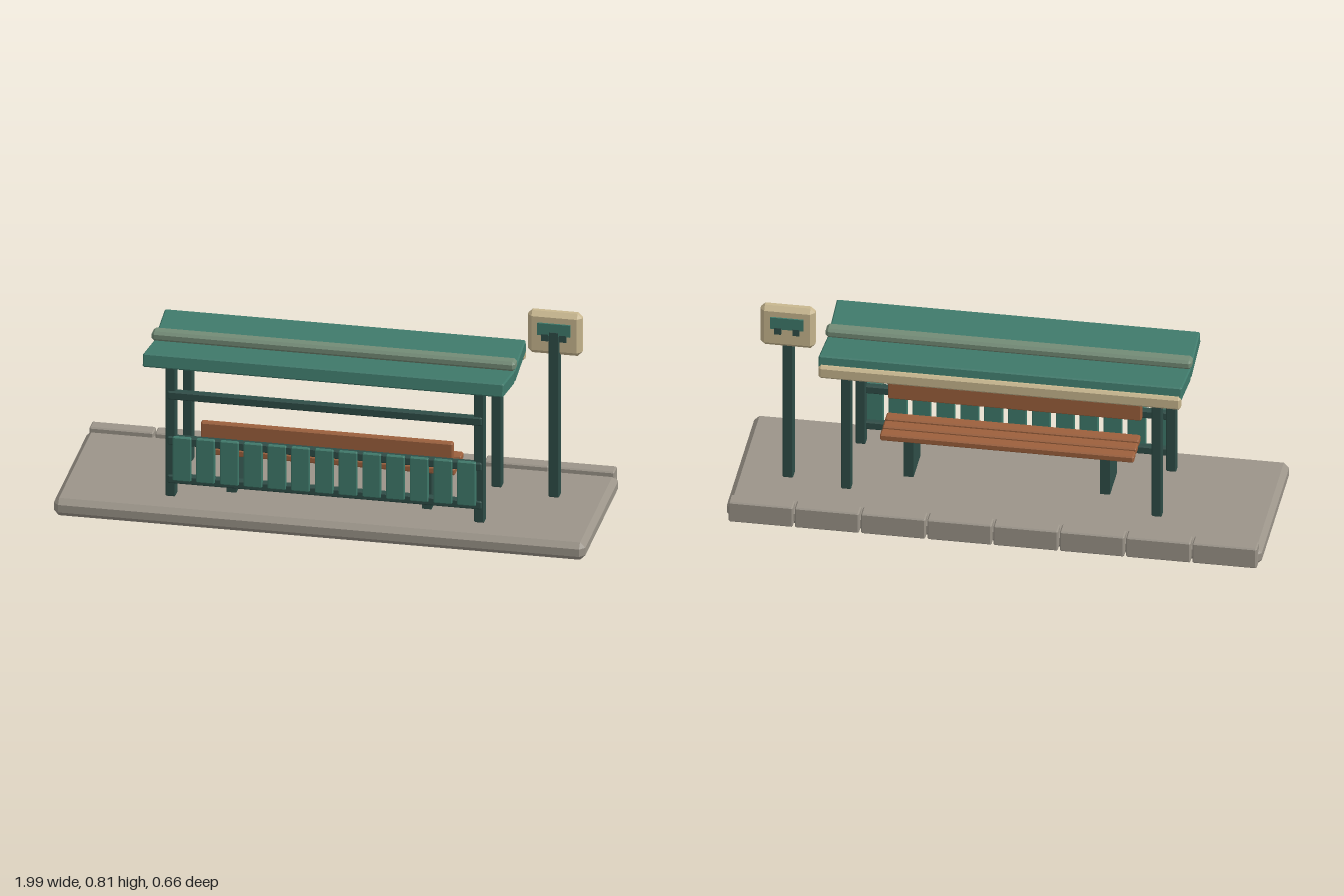
import * as THREE from 'three';
import { ConvexGeometry } from 'three/addons/geometries/ConvexGeometry.js';

const mat = (name, color) => {
  const m = new THREE.MeshStandardMaterial({ color });
  m.name = name;
  return m;
};

// Box with every edge cut by a flat chamfer c
function chamferBox(w, h, d, c) {
  const pts = [];
  for (const sx of [-1, 1]) for (const sy of [-1, 1]) for (const sz of [-1, 1]) {
    const x = w / 2, y = h / 2, z = d / 2;
    pts.push(new THREE.Vector3(sx * x, sy * (y - c), sz * (z - c)));
    pts.push(new THREE.Vector3(sx * (x - c), sy * y, sz * (z - c)));
    pts.push(new THREE.Vector3(sx * (x - c), sy * (y - c), sz * z));
  }
  return new ConvexGeometry(pts);
}

export function createModel() {
  const model = new THREE.Group();
  model.name = 'shelter';

  const stone = mat('stone', 0x9b9489);
  const roofGreen = mat('roof green', 0x3f7a6b);
  const darkGreen = mat('dark green', 0x2e4d47);
  const ridgeGreen = mat('ridge green', 0x738b76);
  const wood = mat('wood', 0x9c603c);
  const cream = mat('cream', 0xc8b78f);

  // Adds a block from its x, y and z ranges; c = 0 gives sharp edges
  const block = (name, material, [x0, x1], [y0, y1], [z0, z1], c = 0.004) => {
    const size = [x1 - x0, y1 - y0, z1 - z0];
    const geo = c ? chamferBox(...size, c) : new THREE.BoxGeometry(...size);
    const mesh = new THREE.Mesh(geo, material);
    mesh.position.set((x0 + x1) / 2, (y0 + y1) / 2, (z0 + z1) / 2);
    mesh.name = name;
    model.add(mesh);
    return mesh;
  };
  const around = (c, w) => [c - w / 2, c + w / 2];

  // Platform and kerb stones along the back
  block('platform', stone, [-0.997, 0.997], [0, 0.07], [-0.31, 0.332], 0.02);
  for (let i = 0; i < 8; i++) {
    block('kerbStone', stone, around((i - 3.5) * 0.247, 0.24), [0.005, 0.09], [-0.332, -0.275], 0.005);
  }

  // Four posts
  for (const s of [-1, 1]) {
    block('frontPost', darkGreen, around(s * 0.579, 0.038), [0.07, 0.605], [0.179, 0.218]);
    block('backPost', darkGreen, around(s * 0.579, 0.038), [0.07, 0.605], [-0.139, -0.1]);
  }

  // Front rails and slatted screen
  for (const y of [0.142, 0.297, 0.48]) {
    block('rail', darkGreen, [-0.59, 0.59], around(y, 0.034), [0.195, 0.224], 0.005);
  }
  for (let i = 0; i < 13; i++) {
    block('screenSlat', roofGreen, around((i - 6) * 0.089, 0.07), [0.14, 0.317], [0.215, 0.231]);
  }

  // Bench
  for (const z of [0.12, 0.062, 0.005]) {
    block('benchSlat', wood, [-0.473, 0.473], around(z < 0 ? 0 : 0.23, 0.027), around(z, 0.047), 0.005);
  }
  block('benchBack', wood, [-0.473, 0.473], [0.293, 0.363], [0.153, 0.181], 0.005);
  for (const s of [-1, 1]) {
    block('benchLeg', darkGreen, around(s * 0.366, 0.037), [0.07, 0.22], [-0.015, 0.137], 0);
  }

  // Butterfly roof: two panels falling to the middle, a cap strip and a gutter
  const frontRoof = block('frontRoofPanel', roofGreen, [-0.677, 0.677], around(0.607, 0.052), around(0.145, 0.206), 0.005);
  frontRoof.rotation.x = -0.176;
  const backRoof = block('backRoofPanel', roofGreen, [-0.677, 0.677], around(0.607, 0.052), around(-0.064, 0.206), 0.005);
  backRoof.rotation.x = 0.176;
  block('roofCap', ridgeGreen, [-0.682, 0.682], [0.62, 0.657], [0.013, 0.067], 0.01);
  block('gutter', cream, [-0.675, 0.675], [0.565, 0.617], [-0.184, -0.153], 0.009);

  // Stop sign with a small vehicle symbol on both faces
  block('signPost', darkGreen, around(0.803, 0.04), [0.07, 0.74], [-0.096, -0.054]);
  block('signBoard', cream, around(0.803, 0.204), [0.64, 0.81], [-0.112, -0.062], 0.017);
  for (const z of [-0.0585, -0.1145]) {
    block('symbolBody', roofGreen, around(0.803, 0.124), [0.722, 0.77], around(z, 0.007), 0);
    for (const s of [-1, 1]) {
      block('symbolWheel', darkGreen, around(0.803 + s * 0.034, 0.026), [0.7, 0.727], around(z, 0.009), 0);
    }
  }

  return model;
}
